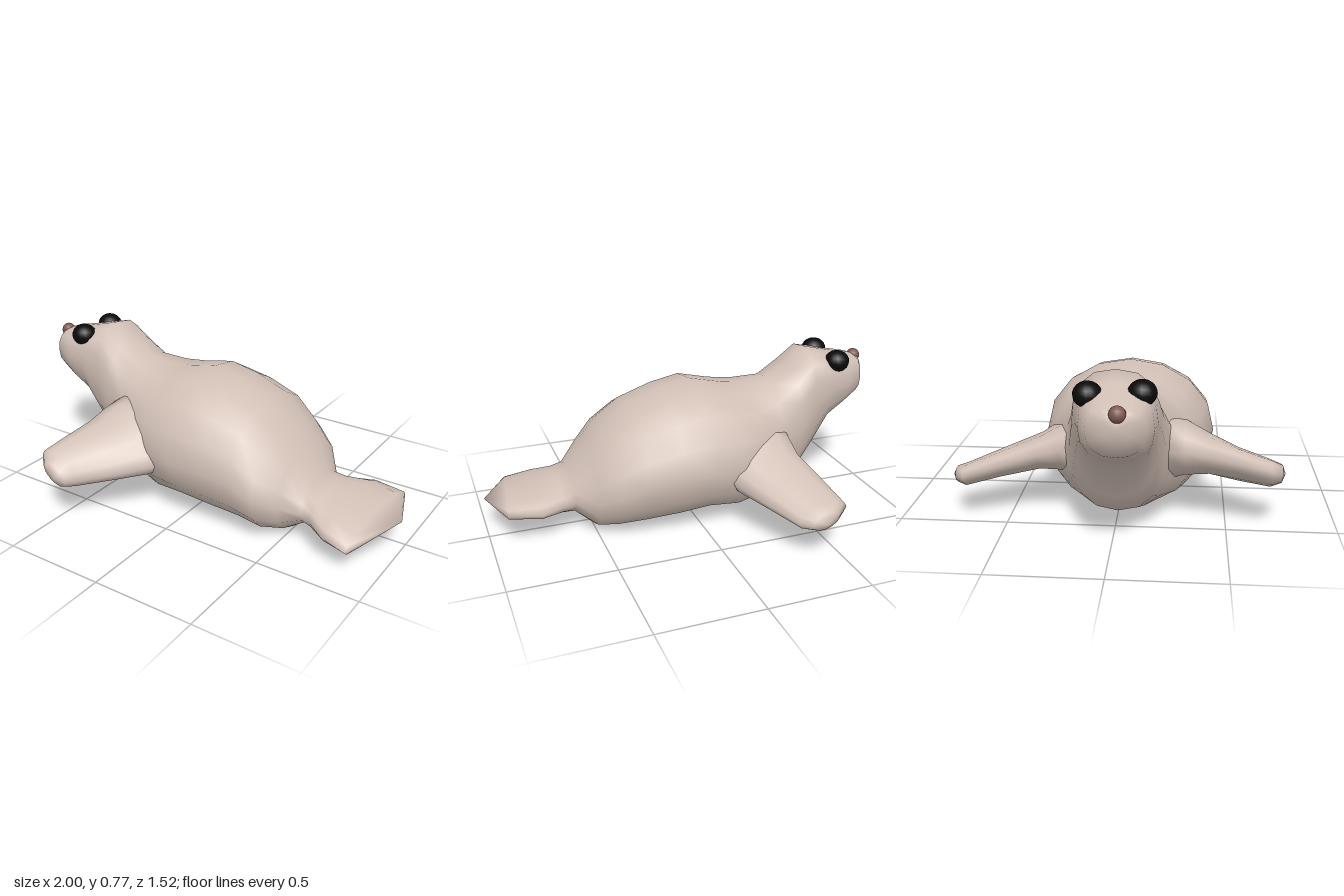
import * as THREE from 'three';

// Skin closed rings of points and cap both ends with fans
function loft(rings, startTip, endTip) {
  const n = rings[0].length, pos = [], idx = [];
  rings.forEach(r => r.forEach(p => pos.push(...p)));
  const at = (i, j) => i * n + (j % n);
  for (let i = 0; i < rings.length - 1; i++) {
    for (let j = 0; j < n; j++) {
      idx.push(at(i, j), at(i + 1, j), at(i, j + 1));
      idx.push(at(i + 1, j), at(i + 1, j + 1), at(i, j + 1));
    }
  }
  const last = rings.length - 1, s = n * rings.length;
  pos.push(...startTip, ...endTip);
  for (let j = 0; j < n; j++) {
    idx.push(s, at(0, j), at(0, j + 1));
    idx.push(s + 1, at(last, j + 1), at(last, j));
  }
  const g = new THREE.BufferGeometry();
  g.setAttribute('position', new THREE.Float32BufferAttribute(pos, 3));
  g.setIndex(idx);
  g.computeVertexNormals();
  return g;
}

function ring(count, fn) {
  return Array.from({ length: count }, (_, j) => {
    const a = (j / count) * Math.PI * 2;
    return fn(Math.cos(a), Math.sin(a));
  });
}

// Signed power: below 1 makes a section squarer
const pow = (v, p) => Math.sign(v) * Math.abs(v) ** p;

export function createModel() {
  const fur = new THREE.MeshStandardMaterial({ name: 'fur', color: 0xd1c0b6 });
  const black = new THREE.MeshStandardMaterial({ name: 'eyeBlack', color: 0x0a0a0a });
  const pink = new THREE.MeshStandardMaterial({ name: 'nosePink', color: 0x7f5a52 });
  const seal = new THREE.Group();
  seal.name = 'seal';
  const add = (name, geometry, material) => {
    const m = new THREE.Mesh(geometry, material);
    m.name = name;
    seal.add(m);
    return m;
  };

  // Head, trunk and tail fin: x, bottom, widest height, top, zMin, zMax
  const sections = [
    [-0.975, 0.57, 0.63, 0.685, -0.01, 0.10],
    [-0.94, 0.50, 0.61, 0.705, -0.08, 0.16],
    [-0.85, 0.45, 0.59, 0.725, -0.12, 0.19],
    [-0.75, 0.385, 0.58, 0.75, -0.145, 0.20],
    [-0.64, 0.21, 0.52, 0.78, -0.175, 0.21],
    [-0.55, 0.105, 0.40, 0.71, -0.20, 0.23],
    [-0.44, 0.065, 0.35, 0.645, -0.24, 0.27],
    [-0.30, 0.03, 0.33, 0.63, -0.32, 0.36],
    [-0.19, 0.02, 0.325, 0.64, -0.36, 0.41],
    [-0.03, 0.045, 0.325, 0.675, -0.375, 0.445],
    [0.12, 0.025, 0.32, 0.645, -0.365, 0.435],
    [0.29, 0.015, 0.29, 0.585, -0.34, 0.42],
    [0.41, 0.005, 0.24, 0.49, -0.295, 0.41],
    [0.50, 0.01, 0.20, 0.40, -0.24, 0.34],
    [0.59, 0.07, 0.165, 0.275, -0.11, 0.27],
    [0.65, 0.08, 0.16, 0.25, -0.13, 0.29],
    [0.75, 0.085, 0.15, 0.235, -0.18, 0.345],
    [0.89, 0.095, 0.145, 0.205, -0.155, 0.37],
  ];
  const bodyRings = sections.map(([x, y0, mid, y1, z0, z1]) => {
    const topPower = x < -0.5 ? 0.78 : 1;      // broad flat crown
    const bottomPower = x < 0.55 ? 0.87 : 1;   // full belly
    const skew = 0.11 * THREE.MathUtils.clamp((x - 0.59) / 0.3, 0, 1);  // tilted, swept tail fin
    return ring(16, (c, s) => {
      const p = s >= 0 ? topPower : bottomPower;
      const dz = pow(c, p) * (z1 - z0) / 2;
      const dy = pow(s, p) * (s >= 0 ? y1 - mid : mid - y0);
      return [x - skew * dz, mid + dy - skew * dz, (z0 + z1) / 2 + dz];
    });
  });
  add('body', loft(bodyRings, [-0.985, 0.63, 0.045], [1, 0.17, 0.08]), fur);

  // Front flippers, flared where they enter the body:
  // z, centre x, centre y, half chord, half thickness, slope of chord
  function flipper(name, rows, tip) {
    const side = Math.sign(tip[2]);
    const rings = rows.map(([z, cx, cy, rx, ry, k]) =>
      ring(12, (c, s) => [cx + rx * c, cy - side * ry * s + k * rx * c, z]));
    add(name, loft(rings, [rows[0][1], rows[0][2], rows[0][0]], tip), fur);
  }
  flipper('leftFlipper', [
    [0.18, -0.29, 0.34, 0.23, 0.19, -0.15],
    [0.31, -0.31, 0.33, 0.225, 0.135, -0.2],
    [0.42, -0.335, 0.31, 0.205, 0.10, -0.25],
    [0.55, -0.41, 0.29, 0.15, 0.08, -0.35],
    [0.69, -0.475, 0.275, 0.103, 0.065, -0.4],
    [0.74, -0.46, 0.268, 0.065, 0.045, -0.4],
  ], [-0.44, 0.26, 0.76]);
  flipper('rightFlipper', [
    [-0.15, -0.28, 0.35, 0.20, 0.18, -0.1],
    [-0.26, -0.285, 0.32, 0.19, 0.125, -0.15],
    [-0.36, -0.295, 0.29, 0.175, 0.09, -0.2],
    [-0.53, -0.355, 0.25, 0.148, 0.07, -0.2],
    [-0.69, -0.413, 0.208, 0.12, 0.055, -0.2],
    [-0.74, -0.405, 0.203, 0.065, 0.04, -0.2],
  ], [-0.40, 0.20, -0.765]);

  // Eyes and nose
  [['leftEye', -0.775, 0.719, 0.135], ['rightEye', -0.79, 0.712, -0.085]].forEach(([name, x, y, z]) => {
    const eye = add(name, new THREE.SphereGeometry(0.063, 16, 12), black);
    eye.scale.set(1, 0.87, 0.97);
    eye.position.set(x, y, z);
  });
  add('nose', new THREE.SphereGeometry(0.035, 14, 10), pink).position.set(-0.965, 0.685, 0.05);

  return seal;
}
